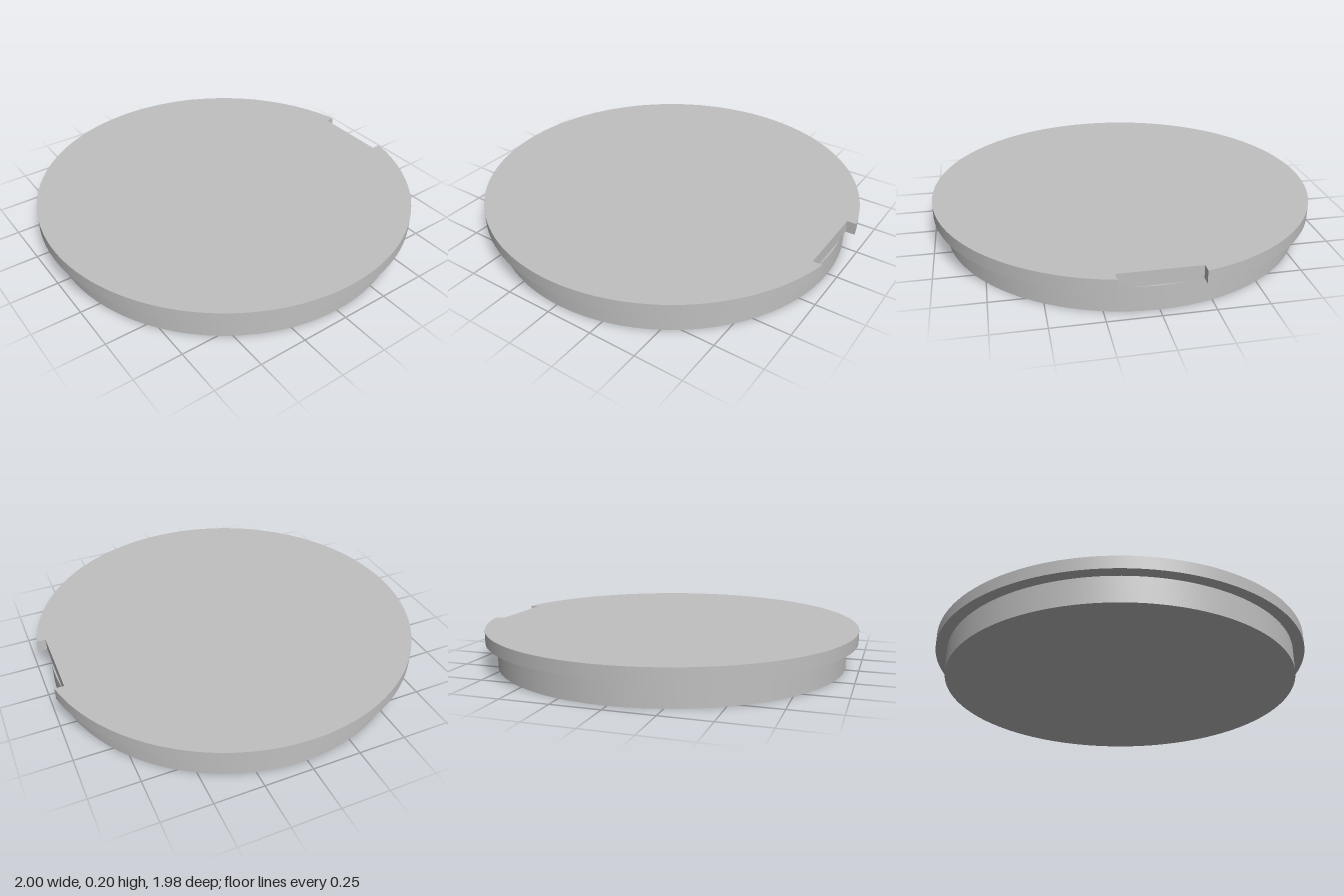
import * as THREE from 'three';
import { toCreasedNormals } from 'three/addons/utils/BufferGeometryUtils.js';

const CENTRE_Z = -0.01; // round centre, shifted because the notch trims the back
const NOTCH_HALF = 0.2;
const NOTCH_Z = 0.932; // distance of the notch floor from the round centre

// Extrude an outline upwards; outline +y becomes the back (-z)
function slab(name, shape, y0, y1, material) {
  let geometry = new THREE.ExtrudeGeometry(shape, { depth: y1 - y0, bevelEnabled: false, curveSegments: 128 });
  geometry.rotateX(-Math.PI / 2);
  geometry = toCreasedNormals(geometry, 0.5);
  const mesh = new THREE.Mesh(geometry, material);
  mesh.name = name;
  mesh.position.set(0, y0, CENTRE_Z);
  return mesh;
}

// Circle outline interrupted at the back between x = -half and x = half
function cutCircle(radius, half, floor) {
  const a = Math.acos(half / radius);
  const shape = new THREE.Shape();
  shape.absarc(0, 0, radius, Math.PI - a, a + Math.PI * 2, false);
  shape.lineTo(half, floor);
  shape.lineTo(-half, floor);
  shape.closePath();
  return shape;
}

export function createModel() {
  const grey = new THREE.MeshStandardMaterial({ color: 0xc0c0c0 });
  grey.name = 'plain grey';
  const group = new THREE.Group();
  group.name = 'notchedLid';

  // Narrower plug below the rim
  const plugRadius = 0.94;
  const plug = new THREE.Shape();
  plug.absarc(0, 0, plugRadius, 0, Math.PI * 2, false);
  group.add(slab('plug', plug, 0, 0.125, grey));

  // Thin top of the plug, shaved flat where the notch reaches into it
  const chordHalf = Math.sqrt(plugRadius ** 2 - NOTCH_Z ** 2);
  group.add(slab('plugShoulder', cutCircle(plugRadius, chordHalf, NOTCH_Z), 0.125, 0.135, grey));

  // Wide rim with the rectangular notch at the back
  group.add(slab('rim', cutCircle(1, NOTCH_HALF, NOTCH_Z), 0.135, 0.2, grey));
  return group;
}
